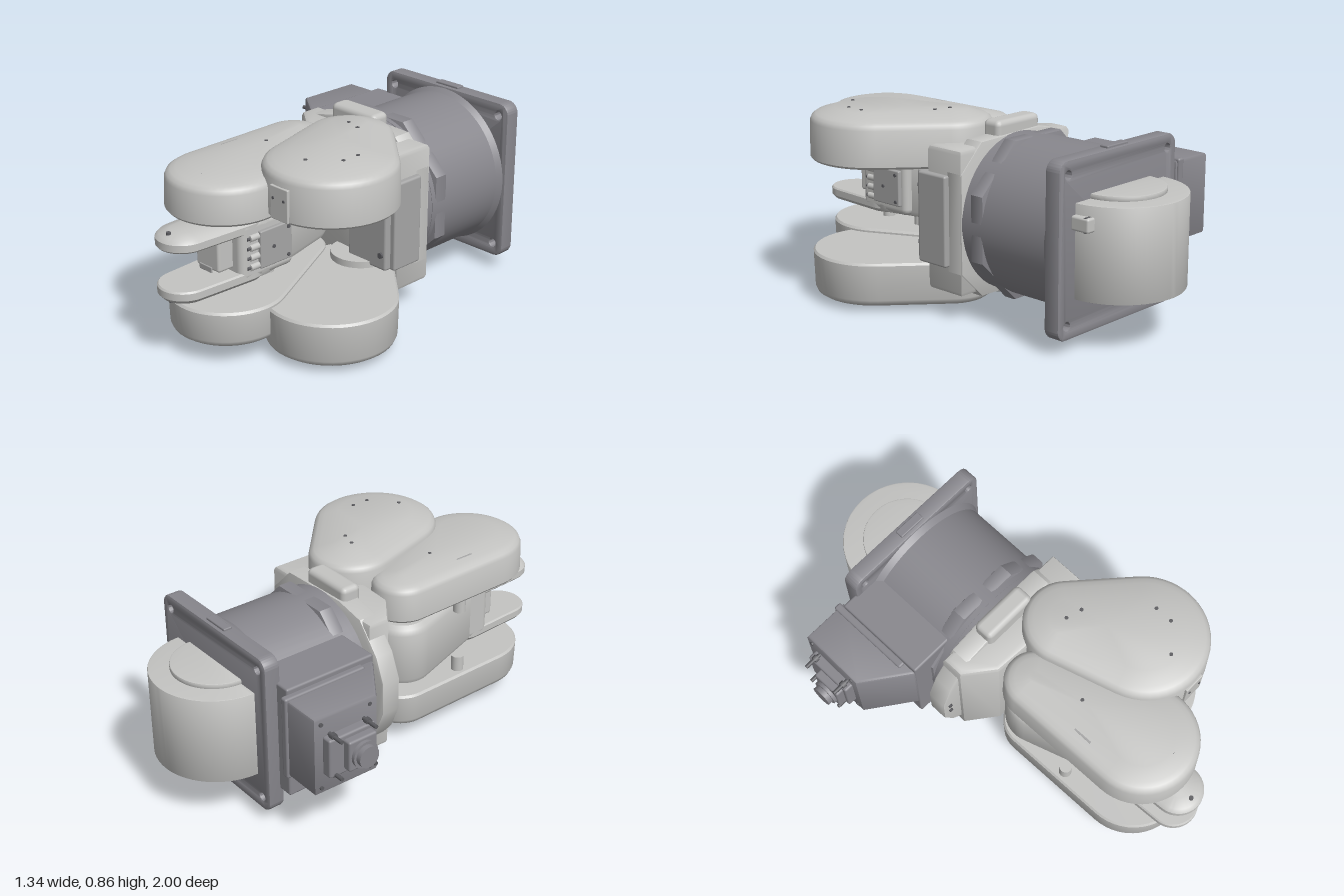
import * as THREE from 'three';
import { toCreasedNormals } from 'three/addons/utils/BufferGeometryUtils.js';
import { RoundedBoxGeometry } from 'three/addons/geometries/RoundedBoxGeometry.js';

const CX = 0.08, CY = 0.435; // axis of the base

export function createModel() {
  const model = new THREE.Group();
  const mat = (name, color) => {
    const m = new THREE.MeshStandardMaterial({ color });
    m.name = name;
    return m;
  };
  const light = mat('light grey', 0xc4c4c2);
  const dark = mat('base grey', 0x88878d);
  const mid = mat('panel grey', 0xa6a6a6);
  const black = mat('detail grey', 0x5c5c60);

  const add = (name, geo, material, x = 0, y = 0, z = 0) => {
    const m = new THREE.Mesh(geo, material);
    m.name = name;
    m.position.set(x, y, z);
    model.add(m);
    return m;
  };
  // Box given by its extents
  const box = (name, material, [x0, x1], [y0, y1], [z0, z1], r = 0.01) =>
    add(name, new RoundedBoxGeometry(x1 - x0, y1 - y0, z1 - z0, 2, r), material,
      (x0 + x1) / 2, (y0 + y1) / 2, (z0 + z1) / 2);
  const cyl = (name, material, axis, r0, r1, len, x, y, z, seg = 24) => {
    const g = new THREE.CylinderGeometry(r1, r0, len, seg);
    if (axis === 'z') g.rotateX(Math.PI / 2);
    if (axis === 'x') g.rotateZ(-Math.PI / 2);
    return add(name, g, material, x, y, z);
  };
  const poly = pts => new THREE.Shape(pts.map(p => new THREE.Vector2(...p)));
  // Front outline (x, y) swept from z0 to z1
  const sweepZ = (name, material, shape, z0, z1, bevel = 0.008) => {
    const g = new THREE.ExtrudeGeometry(shape, { depth: z1 - z0 - 2 * bevel, bevelEnabled: bevel > 0,
      bevelSize: bevel, bevelThickness: bevel, bevelOffset: -bevel, bevelSegments: 2, curveSegments: 24 });
    return add(name, toCreasedNormals(g, 0.6), material, 0, 0, z0 + bevel);
  };
  // Plan outline (x, z) swept from y0 to y1
  const sweepY = (name, material, pts, y0, y1, bevel = 0.012) => {
    const g = new THREE.ExtrudeGeometry(poly(pts.map(([x, z]) => [x, -z])), { depth: y1 - y0 - 2 * bevel,
      bevelEnabled: true, bevelSize: bevel, bevelThickness: bevel, bevelOffset: -bevel, bevelSegments: 2 });
    g.rotateX(-Math.PI / 2);
    return add(name, toCreasedNormals(g, 0.6), material, 0, y0 + bevel, 0);
  };

  // Outline around two circles [x, z, r], shrunk by an inset
  const hull = (a, b, inset) => {
    const n = 28, pts = [], phi = Math.atan2(b[1] - a[1], b[0] - a[0]);
    const open = Math.acos((a[2] - b[2]) / Math.hypot(b[0] - a[0], b[1] - a[1]));
    const arc = (c, from, to) => {
      for (let i = 0; i <= n; i++) {
        const t = from + (to - from) * i / n, r = c[2] - inset;
        pts.push([c[0] + r * Math.cos(t), c[1] + r * Math.sin(t)]);
      }
    };
    arc(b, phi - open, phi + open);
    arc(a, phi + open, phi + 2 * Math.PI - open);
    return pts;
  };
  // Rounded pod lofted through layers [inset, y]; side -1 mirrors it about the arm's mid height
  const pod = (name, material, a, b, layers, side) => {
    const pos = [], idx = [], n = 58;
    const level = y => side > 0 ? y : 2 * CY - y;
    const tri = (p, q, r) => side > 0 ? idx.push(p, q, r) : idx.push(p, r, q);
    for (const [inset, y] of layers) hull(a, b, inset).forEach(([x, z]) => pos.push(x, level(y), z));
    const mx = (a[0] + b[0]) / 2, mz = (a[1] + b[1]) / 2, last = (layers.length - 1) * n;
    pos.push(mx, level(layers[0][1]), mz, mx, level(layers.at(-1)[1]), mz);
    for (let i = 0; i < n; i++) {
      const k = (i + 1) % n;
      for (let j = 0; j < last; j += n) {
        tri(j + i, j + n + i, j + k);
        tri(j + k, j + n + i, j + n + k);
      }
      tri(last + n, i, k);
      tri(last + n + 1, last + k, last + i);
    }
    const g = new THREE.BufferGeometry();
    g.setAttribute('position', new THREE.Float32BufferAttribute(pos, 3));
    g.setIndex(idx);
    add(name, toCreasedNormals(g, 0.6), material);
  };

  // Mounting plate with corner holes
  const h = 0.367, c = 0.05, plate = new THREE.Shape();
  [[1, 1, 0], [-1, 1, 1], [-1, -1, 2], [1, -1, 3]].forEach(([sx, sy, q]) => {
    plate.absarc(CX + sx * (h - c), CY + sy * (h - c), c, q * Math.PI / 2, (q + 1) * Math.PI / 2, false);
    const hole = new THREE.Path();
    hole.absarc(CX + sx * 0.312, CY + sy * 0.308, 0.018, 0, Math.PI * 2, true);
    plate.holes.push(hole);
  });
  sweepZ('mountingPlate', dark, plate, -0.725, -0.652);
  box('plateKey', dark, [0.01, 0.14], [0.79, 0.812], [-0.71, -0.67], 0.005);

  // Half drum behind the plate
  const half = r => {
    const p = [];
    for (let i = 0; i <= 40; i++) {
      const t = Math.PI + Math.PI * i / 40;
      p.push([0.07 + r * Math.cos(t), -0.72 + r * Math.sin(t)]);
    }
    return p;
  };
  sweepY('rearDrum', light, half(0.28), 0.23, 0.625, 0.004);
  sweepY('rearDrumCap', light, half(0.19), 0.62, 0.645, 0.004);
  box('rearDrumLug', light, [0.31, 0.375], [0.52, 0.58], [-0.81, -0.72]);
  for (const y of [0.53, 0.57]) cyl('rearFitting', black, 'x', 0.012, 0.012, 0.05, 0.345, y, -0.79, 12);

  // Round base with collar
  cyl('baseBody', dark, 'z', 0.345, 0.345, 0.46, CX - 0.005, CY, -0.43, 64);
  cyl('baseFillet', dark, 'z', 0.362, 0.345, 0.03, CX - 0.005, CY, -0.64, 64);
  const oct = r => poly(Array.from({ length: 8 }, (_, i) => {
    const t = (i + 0.5) * Math.PI / 4;
    return [CX - 0.005 + r * Math.cos(t), CY + r * Math.sin(t)];
  }));
  sweepZ('collar', dark, oct(0.372), -0.29, -0.222);
  cyl('collarRing', dark, 'z', 0.343, 0.343, 0.05, CX - 0.005, CY, -0.197, 64);

  // Side housing and connector box
  box('sideHousing', dark, [-0.355, -0.12], [0.175, 0.69], [-0.67, -0.235]);
  sweepY('connectorBox', dark, [[-0.34, -0.69], [-0.555, -0.69], [-0.56, -0.385], [-0.36, -0.24], [-0.34, -0.24]], 0.3, 0.66);
  box('connectorBoxLid', dark, [-0.385, -0.35], [0.29, 0.67], [-0.7, -0.3]);
  box('connectorPanel', dark, [-0.6, -0.55], [0.39, 0.57], [-0.65, -0.42]);
  box('connectorBlock', dark, [-0.635, -0.58], [0.41, 0.55], [-0.58, -0.44]);
  cyl('plug', dark, 'x', 0.06, 0.06, 0.03, -0.635, 0.475, -0.51);
  cyl('plugTip', dark, 'x', 0.048, 0.048, 0.03, -0.657, 0.475, -0.51);
  for (const y of [0.4, 0.575]) for (const z of [-0.62, -0.45]) {
    cyl('airFitting', black, 'x', 0.009, 0.009, 0.08, -0.6, y, z, 12);
    cyl('airFittingNut', black, 'x', 0.016, 0.016, 0.02, -0.585, y, z, 6);
  }
  for (const y of [0.33, 0.63]) for (const z of [-0.66, -0.42])
    cyl('lidScrew', black, 'x', 0.009, 0.009, 0.01, -0.558, y, z, 12);

  // Turning shoulder: flange, body and cover
  sweepZ('shoulderFlange', light, poly([[-0.345, 0.36], [-0.345, 0.51], [-0.3, 0.62], [-0.19, 0.75], [-0.05, 0.78],
    [0.3, 0.77], [0.42, 0.65], [0.42, 0.22], [0.3, 0.1], [-0.05, 0.09], [-0.19, 0.12], [-0.3, 0.25]]), -0.175, -0.085);
  sweepY('shoulderBody', light, [[-0.25, -0.17], [-0.25, -0.07], [-0.12, 0.03], [0.2, 0.05], [0.42, 0.02], [0.42, -0.17]], 0.12, 0.75, 0.02);
  for (const s of [1, -1])
    box('shoulderBlock', light, [-0.07, 0.19], s > 0 ? [0.7, 0.835] : [0.08, 0.2], [-0.165, -0.07], 0.025);
  box('frontCover', mid, [0.2, 0.42], [0.24, 0.635], [-0.05, 0.09], 0.012);
  box('sideCover', mid, [0.4, 0.445], [0.24, 0.635], [-0.1, 0.06], 0.01);
  for (const y of [0.31, 0.56]) {
    cyl('flangeBolt', black, 'z', 0.014, 0.014, 0.012, -0.23, y, -0.08, 6);
    cyl('coverBolt', black, 'z', 0.014, 0.014, 0.012, 0.395, y, 0.094, 6);
  }
  for (const y of [0.405, 0.46]) cyl('flangePin', black, 'z', 0.009, 0.009, 0.01, -0.31, y, -0.082, 12);

  // Paired link pods, above and below
  const smallA = [-0.05, 0.17, 0.135], bigA = [0.07, 0.66, 0.245];
  const smallB = [0.215, 0.1, 0.19], bigB = [0.39, 0.38, 0.28];
  const rim = (y0, y1, y2) => [[0.008, y0], [0, y0 + 0.01], [0.004, y1], [0.012, y1 + 0.018], [0.028, y1 + 0.029], [0.05, y1 + 0.035], [0.11, y2]];
  for (const s of [1, -1]) {
    const side = s > 0 ? 'upper' : 'lower', Y = y => s > 0 ? y : 2 * CY - y;
    pod(side + 'InnerPod', light, smallA, bigA, rim(0.622, 0.752, 0.8), s);
    pod(side + 'OuterPod', light, smallB, bigB, rim(0.64, 0.805, 0.86), s);
    // Bosses that carry the forearm
    for (const [x, z] of [[-0.13, 0.44], [0.07, 0.44], [0.07, 0.65]])
      cyl(side + 'Boss', light, 'y', 0.028, 0.028, 0.1, x, Y(0.6), z);
    // Shoulder pivot under the outer pod
    cyl(side + 'Pivot', light, 'y', 0.13, 0.13, 0.1, 0.215, Y(0.66), 0.03, 32);
    // Screws and slots on the pods
    for (const [x, z] of [[0.21, 0.1], [0.28, 0.12], [0.5, 0.34], [0.5, 0.42], [0.39, 0.52]])
      cyl(side + 'OuterScrew', black, 'y', 0.008, 0.008, 0.012, x, Y(0.857), z, 12);
    cyl(side + 'InnerScrew', black, 'y', 0.018, 0.018, 0.014, 0.1, Y(0.791), 0.785, 6);
    cyl(side + 'InnerPin', black, 'y', 0.008, 0.008, 0.012, 0.01, Y(0.796), 0.38, 12);
    box(side + 'Slot', mid, [-0.105, -0.08], [Y(0.79) - 0.004, Y(0.79) + 0.004], [0.44, 0.53], 0.003);
  }
  box('podAccessPlate', light, [0.34, 0.44], [0.645, 0.785], [0.648, 0.664], 0.004);
  for (const x of [0.36, 0.42]) cyl('accessScrew', black, 'z', 0.006, 0.006, 0.006, x, 0.735, 0.665, 12);

  // Forearm and wrist fork
  pod('forearm', light, [-0.04, 0.18, 0.14], [0.07, 0.56, 0.125],
    [[0.03, 0.3], [0.01, 0.308], [0, 0.33], [0, 0.55], [0.01, 0.575], [0.03, 0.59]], 1);
  box('forearmBlock', light, [-0.055, 0.195], [0.31, 0.57], [0.4, 0.69], 0.03);
  box('wristCore', light, [0, 0.14], [0.365, 0.52], [0.65, 0.765], 0.012);
  for (const s of [1, -1])
    pod(s > 0 ? 'upperFork' : 'lowerFork', light, [0.07, 0.62, 0.125], [0.07, 0.885, 0.11],
      [[0.006, 0.518], [0, 0.525], [0, 0.555], [0.015, 0.572], [0.06, 0.584]], s);
  for (const y of [0.58, 0.29]) cyl('forkScrew', black, 'y', 0.01, 0.01, 0.014, 0.07, y, 0.955, 12);
  box('wristSlot', mid, [0.025, 0.1], [0.355, 0.38], [0.762, 0.77], 0.003);

  // Air connectors beside the wrist
  box('connectorPlate', mid, [0.17, 0.212], [0.355, 0.52], [0.43, 0.6], 0.006);
  for (const y of [0.37, 0.413, 0.456, 0.499]) {
    cyl('airPort', light, 'z', 0.015, 0.015, 0.05, 0.193, y, 0.62, 16);
    cyl('airPortTip', black, 'z', 0.008, 0.008, 0.02, 0.193, y, 0.65, 12);
  }
  for (const [y, z] of [[0.375, 0.45], [0.5, 0.45], [0.437, 0.53]])
    cyl('plateScrew', black, 'x', 0.008, 0.008, 0.008, 0.213, y, z, 12);
  return model;
}
